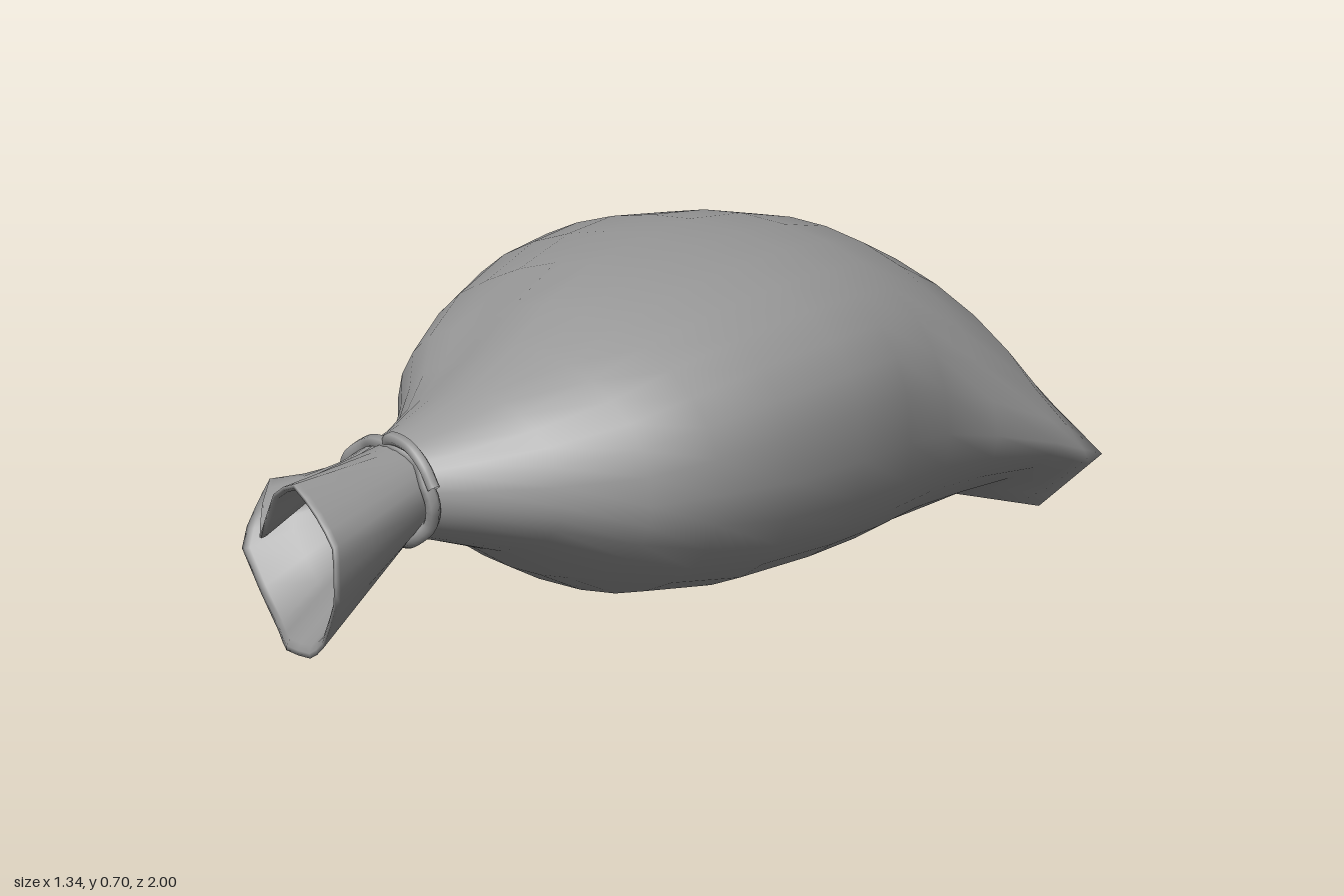
import * as THREE from 'three';

const N = 30; // points around each ring
const V = (x, y, z) => new THREE.Vector3(x, y, z);

// Cross-sections from near the back seam to the tied neck:
// z, min x, max x, top y, bottom y, side height at min x, at max x, roundness, slant
const SECTIONS = [
  [-0.87, -0.615, 0.63, 0.575, 0.022, 0.33, 0.24, 1.6, 0],
  [-0.72, -0.545, 0.60, 0.65, 0.02, 0.38, 0.28, 1.95, 0],
  [-0.58, -0.56, 0.59, 0.685, 0.018, 0.41, 0.31, 2.3, 0],
  [-0.42, -0.588, 0.63, 0.705, 0.016, 0.44, 0.33, 2.5, 0],
  [-0.25, -0.55, 0.655, 0.71, 0.015, 0.42, 0.33, 2.5, 0],
  [-0.02, -0.45, 0.665, 0.70, 0.017, 0.38, 0.33, 2.4, 0],
  [0.16, -0.345, 0.625, 0.655, 0.035, 0.36, 0.33, 2.2, 0],
  [0.30, -0.21, 0.555, 0.60, 0.10, 0.35, 0.32, 2.1, 0],
  [0.42, -0.125, 0.42, 0.525, 0.175, 0.33, 0.32, 2, 0.05],
  [0.52, -0.095, 0.28, 0.46, 0.205, 0.32, 0.32, 2, 0.15],
  [0.59, -0.085, 0.19, 0.425, 0.22, 0.32, 0.32, 2, 0.2],
];

// Rounded, uneven ring; a low roundness pinches the sides into corners
function sectionRing([z, x0, x1, top, bottom, y0, y1, n, slant]) {
  const cx = (x0 + x1) / 2, half = (x1 - x0) / 2;
  return Array.from({ length: N }, (_, j) => {
    const a = (j / N) * Math.PI * 2, cos = Math.cos(a), sin = Math.sin(a);
    // the upper side at min x slopes off more than the rest
    const round = cos < 0 && sin > 0 ? Math.min(n, 1.85) : n;
    const power = (v) => (Math.abs(v) < 1e-9 ? 0 : Math.sign(v) * Math.abs(v) ** (2 / round));
    const c = power(cos), s = power(sin);
    const x = cx + c * half;
    const side = y0 + (y1 - y0) * (c + 1) / 2;
    let y = side + s * (s > 0 ? top - side : side - bottom);
    // soft fold running from the shoulder to the neck
    if (s > 0) y -= 0.05 * s * Math.exp(-(((x + 0.12 - (z - 0.17) * 0.6) / 0.09) ** 2) - ((z - 0.19) / 0.17) ** 2);
    return V(x, y, z + slant * (x - 0.05));
  });
}

const centreOf = (ring) => ring.reduce((sum, p) => sum.add(p), V(0, 0, 0)).divideScalar(ring.length);
const blend = (a, b, t) => a.map((p, j) => p.clone().lerp(b[j], t));
const shrink = (ring, t) => { const c = centreOf(ring); return ring.map((p) => p.clone().lerp(c, t)); };
const pole = (p) => Array.from({ length: N }, () => p.clone());

// Ring with straight sides between six corners
function cornerRing(corners) {
  const step = N / corners.length;
  return Array.from({ length: N }, (_, j) => {
    const i = Math.floor(j / step);
    return corners[i].clone().lerp(corners[(i + 1) % corners.length], (j % step) / step);
  });
}

function loft(rings) {
  const positions = [], index = [];
  rings.forEach((ring) => ring.forEach((p) => positions.push(p.x, p.y, p.z)));
  for (let i = 0; i < rings.length - 1; i++) {
    for (let j = 0; j < N; j++) {
      const k = (j + 1) % N, a = i * N + j, b = i * N + k;
      index.push(a, b, b + N, a, b + N, a + N);
    }
  }
  const g = new THREE.BufferGeometry();
  g.setAttribute('position', new THREE.Float32BufferAttribute(positions, 3));
  g.setIndex(index);
  g.computeVertexNormals();
  return g;
}

export function createModel() {
  const model = new THREE.Group();
  model.name = 'tiedSack';
  const material = new THREE.MeshStandardMaterial({ color: 0x989898, side: THREE.DoubleSide });
  const add = (name, geometry) => {
    const mesh = new THREE.Mesh(geometry, material);
    mesh.name = name;
    model.add(mesh);
  };

  // Filled body; the back end has two pulled side corners and two lower ones
  const back = cornerRing([
    V(0.66, 0.2, -0.98), V(0.3, 0.39, -0.99), V(-0.3, 0.4, -0.99),
    V(-0.67, 0.29, -0.98), V(-0.39, 0.04, -0.97), V(0.48, 0.05, -0.97),
  ]);
  const inset = shrink(back, 0.35);
  inset.forEach((p) => { p.z = -0.998; });
  const body = SECTIONS.map(sectionRing);
  const neck = body[body.length - 1];
  add('sackBody', loft([pole(V(0, 0.24, -1)), inset, back, blend(back, body[0], 0.4), ...body]));

  // Flared mouth with a folded upper edge, turned in at the rim
  const rimPoints = [
    [0.285, 0.24, 1.0], [0.27, 0.31, 0.99], [0.2, 0.365, 0.97], [0.1, 0.41, 0.94], [0.0, 0.36, 0.9],
    [-0.08, 0.24, 0.86], [-0.15, 0.285, 0.78], [-0.215, 0.31, 0.69], [-0.26, 0.235, 0.69], [-0.245, 0.16, 0.745],
    [-0.11, 0.005, 0.77], [0.03, 0.015, 0.89], [0.15, 0.03, 0.94], [0.21, 0.07, 0.96], [0.28, 0.18, 0.995],
  ].map((p) => V(...p));
  const rimCurve = new THREE.CatmullRomCurve3(rimPoints, true, 'catmullrom', 0.25);
  const rim = Array.from({ length: N }, (_, j) => rimCurve.getPoint(j / N));
  const outer = [0, 0.2, 0.6, 0.95, 1].map((t) => blend(neck, rim, t));
  const inner = [0.97, 0.6, 0.2].map((t) => shrink(blend(neck, rim, t), 0.09));
  add('sackMouth', loft([...outer, shrink(rim, 0.05), ...inner, shrink(neck, 0.5), pole(V(0.06, 0.31, 0.58))]));

  // Cord around the neck
  const tube = (points, closed, segments, radius) =>
    new THREE.TubeGeometry(new THREE.CatmullRomCurve3(points, closed), segments, radius, 6, closed);
  const cordPath = [];
  for (let j = 0; j < 14; j++) {
    const a = (j / 14) * Math.PI * 2, x = 0.055 + 0.155 * Math.cos(a);
    const y = 0.32 + (Math.sin(a) > 0 ? 0.1 : 0.11) * Math.sin(a);
    cordPath.push(V(x, y, 0.595 + 0.18 * (x - 0.055) + 0.008 * Math.sin(a * 5)));
  }
  add('neckCord', tube(cordPath, true, 56, 0.017));

  // Loose cord ends, closed with small caps
  const ends = [
    [V(-0.08, 0.36, 0.565), V(-0.11, 0.32, 0.53), V(-0.15, 0.295, 0.485), V(-0.2, 0.27, 0.455)],
    [V(-0.09, 0.3, 0.57), V(-0.11, 0.26, 0.54), V(-0.14, 0.23, 0.5), V(-0.185, 0.21, 0.47)],
  ];
  ends.forEach((points, i) => {
    add(`cordEnd${i + 1}`, tube(points, false, 12, 0.015));
    const tip = new THREE.SphereGeometry(0.015, 6, 4);
    const p = points[points.length - 1];
    add(`cordTip${i + 1}`, tip.translate(p.x, p.y, p.z));
  });

  // Raised loop of cord above the neck
  add('cordLoop', tube([
    V(0.04, 0.41, 0.59), V(0.07, 0.44, 0.61), V(0.14, 0.438, 0.625),
    V(0.19, 0.405, 0.63), V(0.22, 0.36, 0.63),
  ], false, 20, 0.015));

  return model;
}
